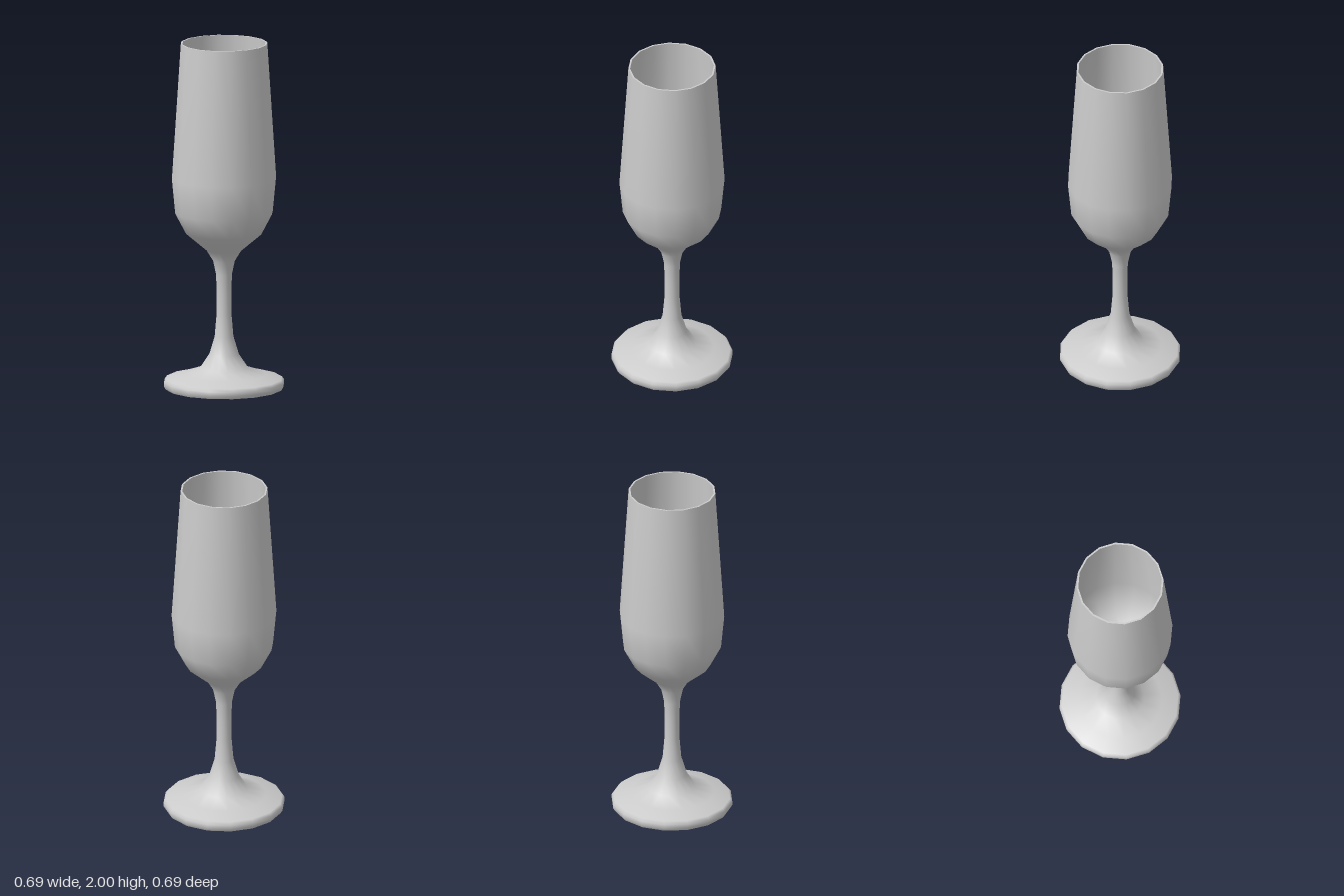
import * as THREE from 'three';

const SIDES = 16;

// Turns a [radius, height] profile; each separate profile ends in a sharp edge.
function turned(name, profile, material) {
  const points = profile.map(([r, y]) => new THREE.Vector2(r, y));
  const mesh = new THREE.Mesh(new THREE.LatheGeometry(points, SIDES), material);
  mesh.name = name;
  return mesh;
}

export function createModel() {
  const group = new THREE.Group();
  group.name = 'fluteGlass';
  const material = new THREE.MeshStandardMaterial({ color: 0xcccccc });

  // Flat underside of the foot
  group.add(turned('footUnderside', [[0, 0], [0.335, 0]], material));

  // Foot, stem and outer bowl in one smooth sweep
  group.add(turned('outerSurface', [
    [0.335, 0], [0.346, 0.018], [0.346, 0.042], [0.333, 0.058],
    [0.24, 0.082], [0.137, 0.117], [0.085, 0.197], [0.054, 0.3], [0.043, 0.43],
    [0.042, 0.55], [0.046, 0.66], [0.063, 0.74], [0.1, 0.8],
    [0.218, 0.9], [0.281, 1.02], [0.3, 1.22], [0.249, 2],
  ], material));

  // Flat lip of the bowl
  group.add(turned('rim', [[0.249, 2], [0.239, 2]], material));

  // Inside of the bowl
  group.add(turned('innerBowl', [
    [0.239, 2], [0.288, 1.22], [0.269, 1.025], [0.208, 0.913], [0.1, 0.825], [0, 0.8],
  ], material));

  return group;
}
